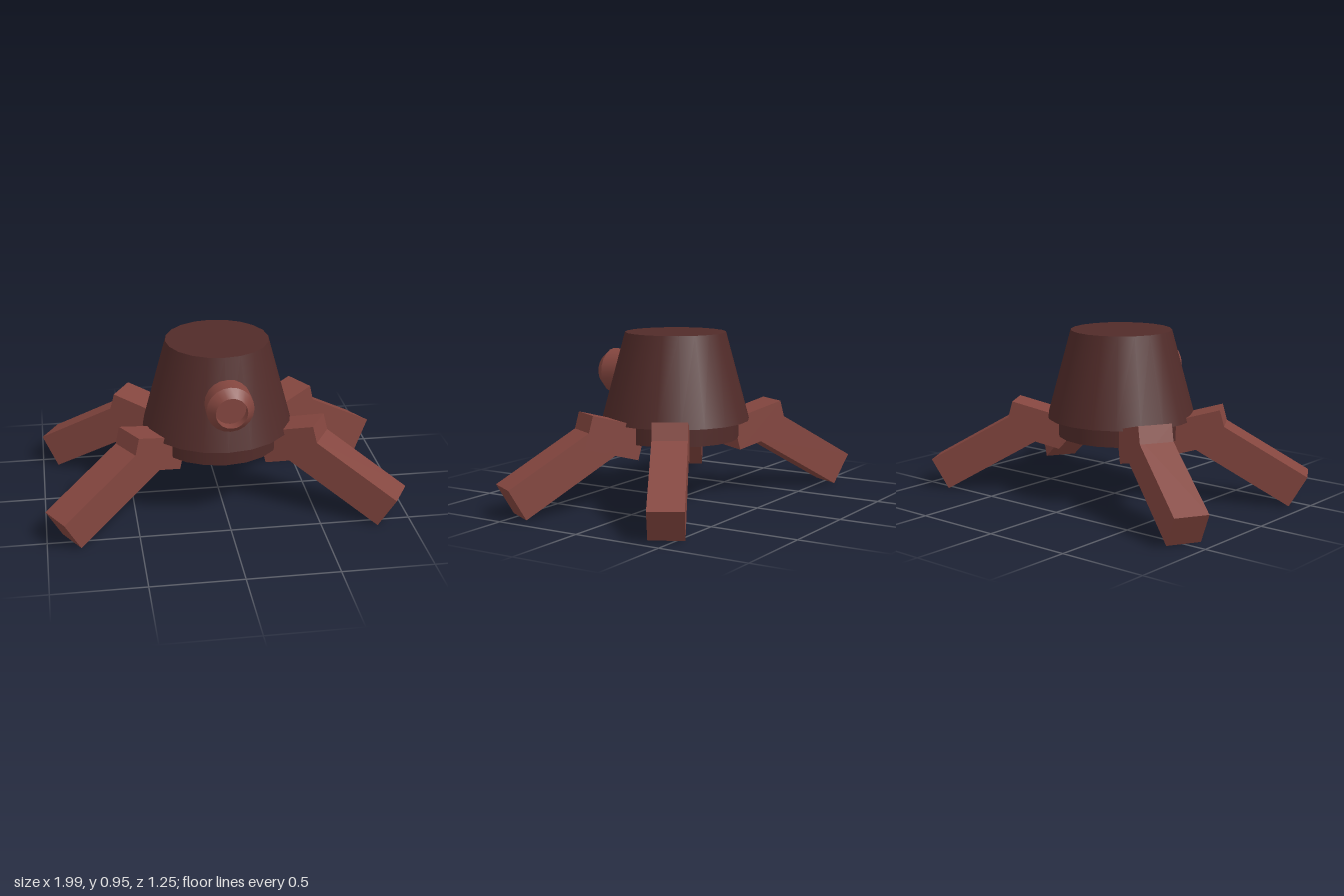
import * as THREE from 'three';
import { toCreasedNormals } from 'three/addons/utils/BufferGeometryUtils.js';

const bodyMat = new THREE.MeshStandardMaterial({ color: 0x512b29 });
const limbMat = new THREE.MeshStandardMaterial({ color: 0x84463f });
const DEG = Math.PI / 180;

function mesh(name, geometry, material, x, y, z) {
  const m = new THREE.Mesh(geometry, material);
  m.name = name;
  m.position.set(x, y, z);
  return m;
}

// Bent leg: origin on the ground below the foot's outer top edge, local +x points outward
function makeLeg(name, x, z, angle) {
  const leg = new THREE.Group();
  leg.name = name;
  leg.position.set(x, 0, z);
  leg.rotation.y = -angle;

  // Hip block rising outward
  const hip = mesh('upperLeg', new THREE.BoxGeometry(0.33, 0.188, 0.19), limbMat, -0.624, 0.3975, 0);
  hip.rotation.z = 15 * DEG;

  // Shin sloping down to the ground, square cut at the foot
  const length = 0.62, thick = 0.196, tilt = 30 * DEG;
  const shinGeo = new THREE.BoxGeometry(length, thick, 0.19);
  shinGeo.translate(-length / 2, -thick / 2, 0);
  const shin = mesh('lowerLeg', shinGeo, limbMat, 0, 0.17, 0);
  shin.rotation.z = -tilt;

  leg.add(hip, shin);
  return leg;
}

export function createModel() {
  const model = new THREE.Group();
  model.name = 'walkerTurret';
  const cx = -0.013, cz = 0.042;

  // Tapered body and the narrower base ring under it
  model.add(
    mesh('body', new THREE.CylinderGeometry(0.286, 0.42, 0.495, 20), bodyMat, cx, 0.7025, cz),
    mesh('base', new THREE.CylinderGeometry(0.36, 0.36, 0.11, 20), bodyMat, cx, 0.405, cz)
  );

  // Eye: chamfered barrel with a recessed lens
  const profile = [[0, 0.25], [0.128, 0.25], [0.128, 0.46], [0.086, 0.51], [0.086, 0.45], [0, 0.45]]
    .map(([r, h]) => new THREE.Vector2(r, h));
  const eyeGeo = toCreasedNormals(new THREE.LatheGeometry(profile, 20), 30 * DEG);
  const eye = mesh('eye', eyeGeo, limbMat, 0, 0.707, 0);
  eye.rotation.x = Math.PI / 2;
  model.add(eye);

  // Four legs, each placed by its foot
  const feet = [
    ['frontLeftLeg', 0.94, 0.53, 30],
    ['backLeftLeg', 0.946, -0.505, -30],
    ['frontRightLeg', -0.952, 0.54, 150],
    ['backRightLeg', -0.95, -0.548, 210]
  ];
  for (const [name, x, z, deg] of feet) model.add(makeLeg(name, x, z, deg * DEG));

  return model;
}
